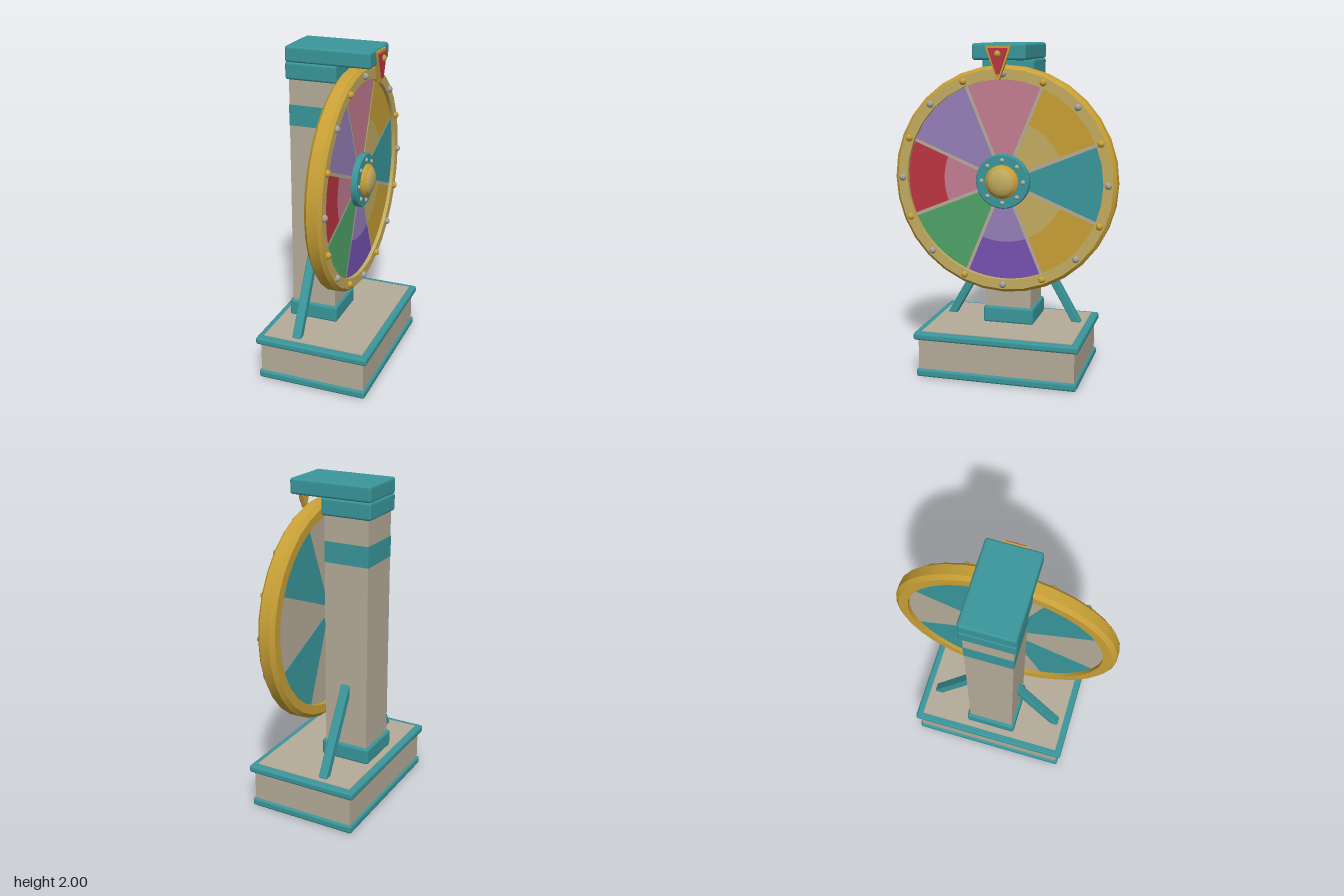
import * as THREE from 'three';
import { toCreasedNormals } from 'three/addons/utils/BufferGeometryUtils.js';
import { RoundedBoxGeometry } from 'three/addons/geometries/RoundedBoxGeometry.js';

const mat = (name, color) => Object.assign(new THREE.MeshStandardMaterial({ color }), { name });

export function createModel() {
  const root = new THREE.Group();
  root.name = 'prizeWheel';
  const teal = mat('teal', 0x3a979b), beige = mat('beige', 0xb5ab99), gold = mat('gold', 0xc8a036),
    pale = mat('paleGold', 0xc4ad60), red = mat('red', 0xbd3542), pink = mat('pink', 0xc47d93),
    purple = mat('purple', 0x7752b2), lavender = mat('lavender', 0x9780b9),
    green = mat('green', 0x50a468), steel = mat('steel', 0xa3a19b);

  const add = (name, geo, material, parent = root) => {
    const m = new THREE.Mesh(geo, material);
    m.name = name;
    parent.add(m);
    return m;
  };
  // Box given by its limits; bevel rounds the edges
  const box = (name, material, [x0, x1], [y0, y1], hz, bevel = 0) => {
    const size = [x1 - x0, y1 - y0, hz * 2];
    const geo = bevel ? new RoundedBoxGeometry(...size, 1, bevel) : new THREE.BoxGeometry(...size);
    const m = add(name, geo, material);
    m.position.set((x0 + x1) / 2, (y0 + y1) / 2, 0);
    return m;
  };

  // Base
  box('baseBottomTrim', teal, [-0.345, 0.345], [0, 0.05], 0.495, 0.015);
  box('baseBody', beige, [-0.33, 0.33], [0.03, 0.26], 0.48);
  box('baseTopTrim', teal, [-0.357, 0.357], [0.235, 0.281], 0.507, 0.015);
  box('baseTopPanel', beige, [-0.317, 0.317], [0.27, 0.285], 0.463);

  // Column, collars and overhanging head
  box('column', beige, [-0.26, 0.02], [0.28, 1.85], 0.142);
  box('columnBand', teal, [-0.262, 0.022], [1.53, 1.655], 0.144);
  box('columnFoot', teal, [-0.28, 0.037], [0.28, 0.385], 0.16, 0.015);
  box('columnCapital', teal, [-0.28, 0.037], [1.805, 1.908], 0.16, 0.015);
  box('headArm', teal, [-0.28, 0.24], [1.905, 2], 0.16, 0.015);

  // Slanted braces on both sides
  for (const s of [1, -1]) {
    const from = new THREE.Vector3(-0.118, 0.285, 0.405 * s), to = new THREE.Vector3(-0.118, 0.76, 0.135 * s);
    const dir = to.clone().sub(from);
    const brace = add('brace', new RoundedBoxGeometry(0.056, dir.length() + 0.03, 0.05, 1, 0.008), teal);
    brace.position.copy(from).add(to).multiplyScalar(0.5);
    brace.rotation.x = Math.atan2(dir.z, dir.y);
  }

  // Wheel, turning about the x axis
  const wheel = new THREE.Group();
  wheel.name = 'wheel';
  wheel.position.y = 1.195;
  root.add(wheel);
  // Lathe profile in pairs of radius and x
  const turned = (name, material, profile, segments = 32) => {
    const pts = profile.map(([r, x]) => new THREE.Vector2(r, x));
    const geo = toCreasedNormals(new THREE.LatheGeometry(pts, segments), 0.5);
    const m = add(name, geo, material, wheel);
    m.rotation.z = -Math.PI / 2;
    return m;
  };
  turned('rim', gold, [[0.6, 0.08], [0.6, 0.045], [0.655, 0.045], [0.68, 0.067], [0.68, 0.13], [0.66, 0.15]]);
  turned('rimFace', pale, [[0.66, 0.15], [0.6, 0.15], [0.6, 0.12]]);
  turned('wheelDisc', beige, [[0, 0.07], [0.605, 0.07], [0.605, 0.125], [0, 0.125]]);
  turned('backHub', teal, [[0, 0.018], [0.105, 0.018], [0.105, 0.035], [0, 0.035]]);
  turned('axle', steel, [[0.05, 0.03], [0.05, 0.08]]);
  turned('hubPlate', teal, [[0.15, 0.12], [0.163, 0.12], [0.163, 0.158], [0.157, 0.164], [0, 0.164]]);
  turned('hubCollar', gold, [[0.1, 0.16], [0.1, 0.178], [0.08, 0.195], [0.07, 0.197]]);
  turned('hubDome', pale, [[0.085, 0.185], [0.078, 0.197], [0.06, 0.207], [0.035, 0.213], [0, 0.215]]);

  // Ring sector with straight gaps of constant width beside it
  const sector = (name, material, angle, r0, r1, x, back = false) => {
    const pts = [], steps = 8;
    for (const [r, s] of [[r0, 1], [r1, -1]]) {
      const half = Math.PI / 8 - Math.asin(0.01 / r);
      for (let i = 0; i <= steps; i++) {
        const a = angle + s * half * (1 - 2 * i / steps);
        pts.push(new THREE.Vector2(r * Math.cos(a), r * Math.sin(a)));
      }
    }
    const geo = new THREE.ExtrudeGeometry(new THREE.Shape(pts), { depth: 0.004, bevelEnabled: false });
    const m = add(name, geo, material, wheel);
    m.rotation.y = back ? -Math.PI / 2 : Math.PI / 2;
    m.position.x = x;
  };
  // Outer and inner colour, counter-clockwise from the -z side
  const fields = [[teal, teal], [gold, pale], [pink, pink], [lavender, lavender],
    [red, pink], [green, green], [purple, lavender], [gold, pale]];
  fields.forEach(([outer, inner], i) => {
    const a = i * Math.PI / 4;
    sector('fieldOuter', outer, a, 0.37, 0.597, 0.124);
    sector('fieldInner', inner, a, 0.1, 0.37, 0.124);
    if (i % 2) sector('backField', teal, a, 0.08, 0.597, 0.071, true);
  });

  // Rim pegs and hub bolts
  const ball = (name, material, radius, ring, angle, x) => {
    const m = add(name, new THREE.SphereGeometry(radius, 12, 8), material, wheel);
    m.position.set(x, ring * Math.sin(angle), -ring * Math.cos(angle));
  };
  for (let i = 0; i < 16; i++) ball('rimPeg', i % 2 ? gold : steel, 0.021, 0.63, i * Math.PI / 8, 0.153);
  for (let i = 0; i < 8; i++) ball('hubBolt', beige, 0.014, 0.127, i * Math.PI / 4, 0.162);

  // Pointer hanging from the head
  const triangle = (name, material, half, top, bottom, x, depth) => {
    const shape = new THREE.Shape([[-half, top], [-half + 0.008, top - 0.025], [-0.008, bottom], [0.008, bottom],
      [half - 0.008, top - 0.025], [half, top]].map(p => new THREE.Vector2(...p)));
    const m = add(name, new THREE.ExtrudeGeometry(shape, { depth, bevelEnabled: false }), material);
    m.rotation.y = Math.PI / 2;
    m.position.x = x;
  };
  triangle('pointerFrame', gold, 0.077, 1.987, 1.795, 0.225, 0.025);
  triangle('pointerFace', red, 0.058, 1.972, 1.825, 0.248, 0.013);
  add('pointerStud', new THREE.SphereGeometry(0.02, 12, 8), gold).position.set(0.26, 1.94, 0);

  return root;
}
